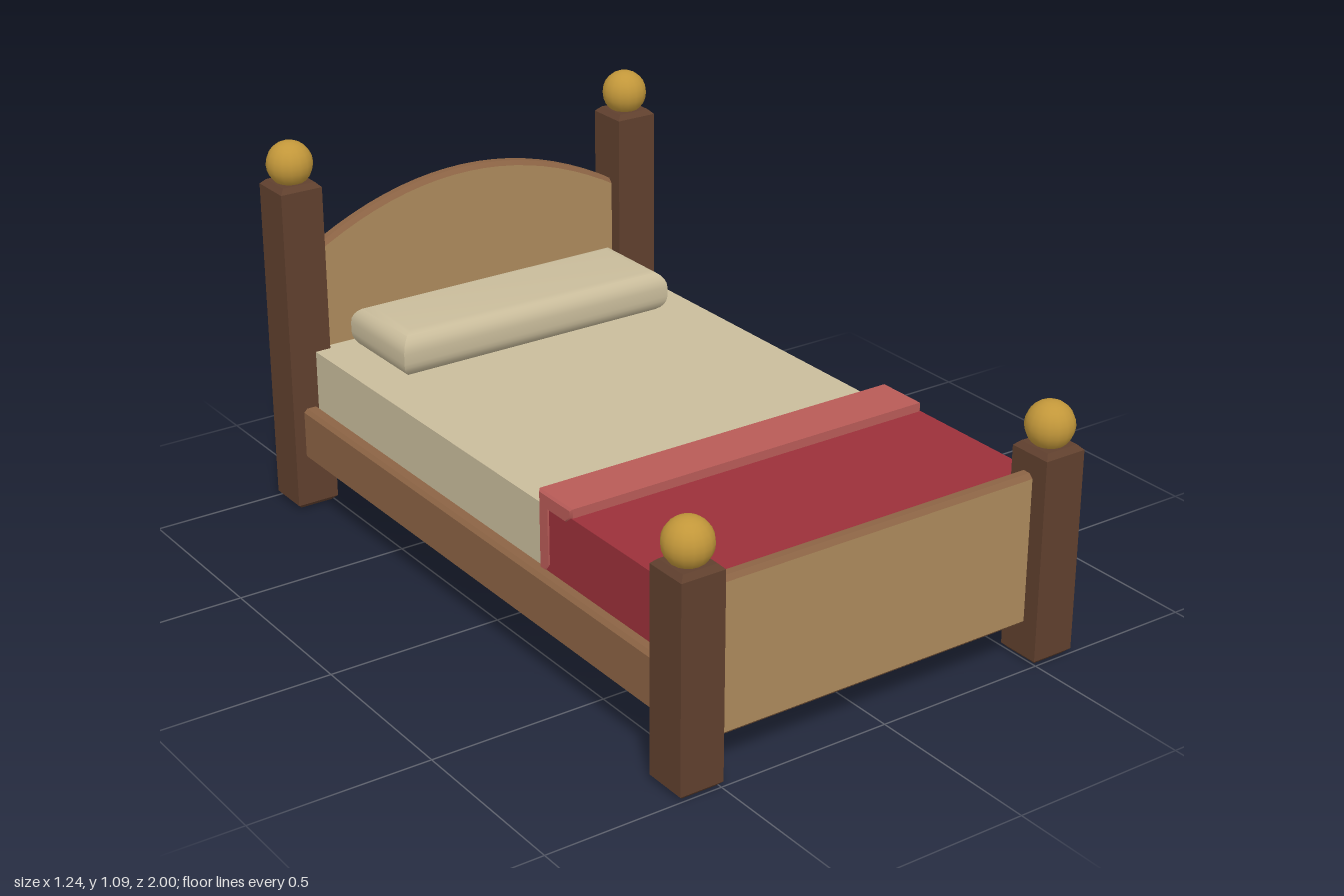
import * as THREE from 'three';
import { toCreasedNormals } from 'three/addons/utils/BufferGeometryUtils.js';

const mat = (name, color) => {
  const m = new THREE.MeshStandardMaterial({ color });
  m.name = name;
  return m;
};

// Rectangle outline centred on the origin
function rect(w, h) {
  return new THREE.Shape([
    new THREE.Vector2(-w / 2, -h / 2), new THREE.Vector2(w / 2, -h / 2),
    new THREE.Vector2(w / 2, h / 2), new THREE.Vector2(-w / 2, h / 2),
  ]);
}

// Extrusion centred on z = 0 with bevelled rims that stay inside the full depth
function bevelled(shape, depth, bevel, segments = 1) {
  const g = new THREE.ExtrudeGeometry(shape, {
    depth: depth - 2 * bevel, bevelEnabled: true, bevelThickness: bevel,
    bevelSize: bevel, bevelOffset: -bevel, bevelSegments: segments, curveSegments: 20,
  });
  g.translate(0, 0, bevel - depth / 2);
  return toCreasedNormals(g, 0.6);
}

export function createModel() {
  const darkWood = mat('dark wood', 0x60402e);
  const trimWood = mat('trim wood', 0x8b6344);
  const panelWood = mat('panel wood', 0xac8a5c);
  const gold = mat('gold', 0xc2973a);
  const linen = mat('linen', 0xc9bc9b);
  const red = mat('red blanket', 0x9b303a);
  const pink = mat('blanket fold', 0xb85b57);

  const bed = new THREE.Group();
  bed.name = 'bed';
  const add = (name, geometry, material, x, y, z) => {
    const m = new THREE.Mesh(geometry, material);
    m.name = name;
    m.position.set(x, y, z);
    bed.add(m);
    return m;
  };

  // Corner posts with ball finials, and side rails
  for (const [side, s] of [['left', 1], ['right', -1]]) {
    for (const [end, z, height] of [['Head', -0.937, 0.97], ['Foot', 0.937, 0.595]]) {
      const post = bevelled(rect(0.126, 0.126), height, 0.014).rotateX(-Math.PI / 2);
      add(side + end + 'Post', post, darkWood, s * 0.557, height / 2, z);
      add(side + end + 'Finial', new THREE.SphereGeometry(0.065, 16, 12), gold,
        s * 0.557, height + 0.05, z);
    }
    const rail = bevelled(rect(1.82, 0.155), 0.048, 0.01).rotateY(Math.PI / 2);
    add(side + 'Rail', rail, trimWood, s * 0.563, 0.232, 0);
  }

  // Arched headboard and straight footboard, with trim-coloured rims
  const arch = new THREE.Shape();
  arch.moveTo(-0.52, 0.1);
  arch.lineTo(0.52, 0.1);
  arch.lineTo(0.52, 0.752);
  arch.quadraticCurveTo(0, 1.054, -0.52, 0.752);
  add('headboard', bevelled(arch, 0.046, 0.012), [panelWood, trimWood], 0, 0, -0.937);
  add('footboard', bevelled(rect(1.04, 0.428), 0.046, 0.012), [panelWood, trimWood], 0, 0.314, 0.929);

  // Mattress and pillow
  add('mattress', new THREE.BoxGeometry(1.08, 0.275, 1.8), linen, 0, 0.3375, 0.005);
  const pillow = bevelled(rect(0.88, 0.295), 0.128, 0.05, 6).rotateX(-Math.PI / 2);
  add('pillow', pillow, linen, 0, 0.538, -0.697);

  // Blanket over the foot end, tucked behind the rails
  add('blanket', new THREE.BoxGeometry(1.108, 0.21, 0.59), red, 0, 0.395, 0.612);

  // Turned-back fold: a band on top with a narrow hem down each side
  const fold = new THREE.Shape();
  [[0.302, 0.3], [0.328, 0.3], [0.35, 0.33], [0.35, 0.478], [0.425, 0.478],
    [0.45, 0.5], [0.45, 0.525], [0.302, 0.525]]
    .forEach(([z, y], i) => (i ? fold.lineTo(-z, y) : fold.moveTo(-z, y)));
  const foldGeometry = bevelled(fold, 1.114, 0.006).rotateY(Math.PI / 2);
  add('blanketFold', foldGeometry, pink, 0, 0, 0);

  return bed;
}
